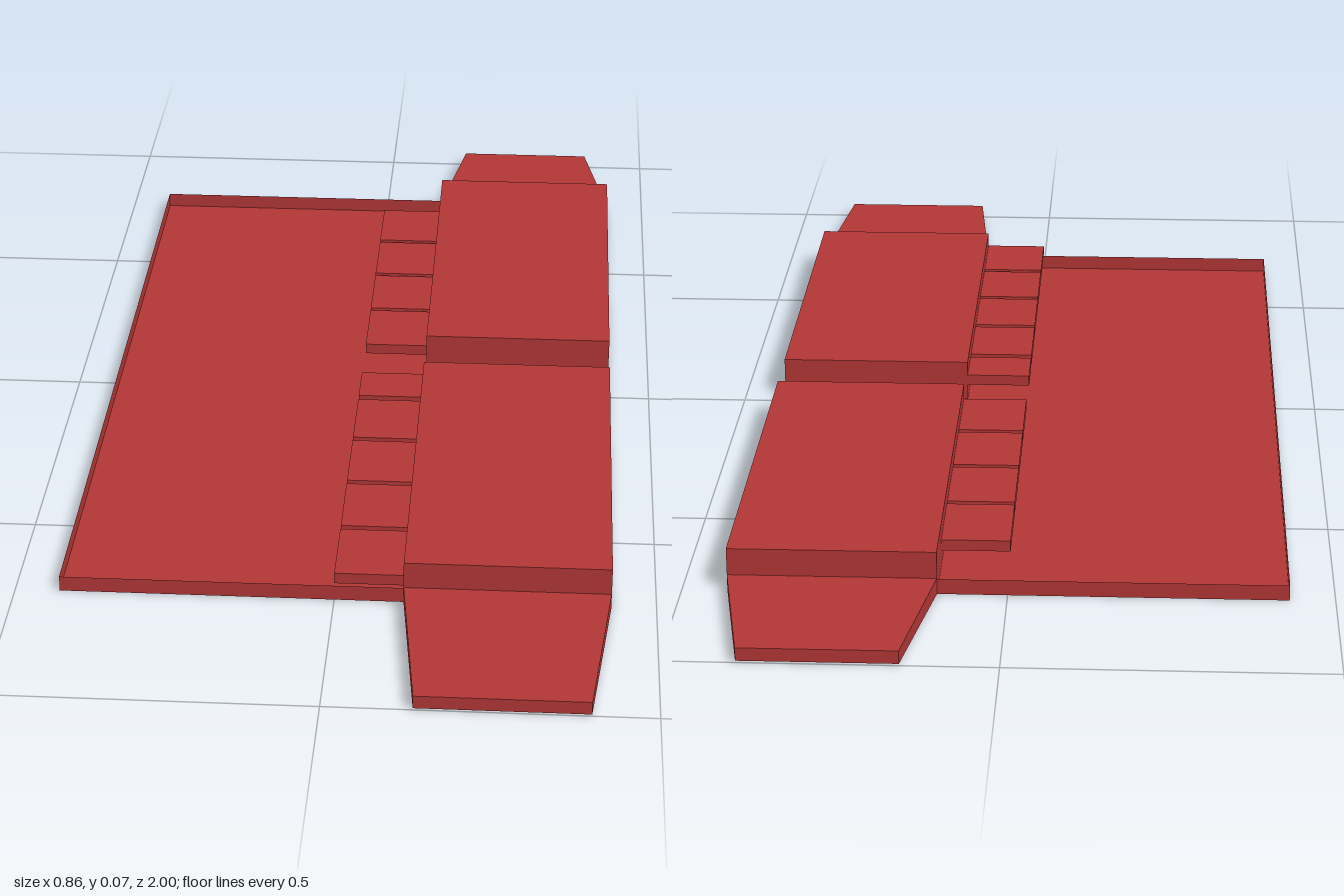
import * as THREE from 'three';

export function createModel() {
  const model = new THREE.Group();
  const red = new THREE.MeshStandardMaterial({ color: 0xb23636, side: THREE.DoubleSide });
  red.name = 'brick red';

  const add = (name, geometry) => {
    const mesh = new THREE.Mesh(geometry, red);
    mesh.name = name;
    model.add(mesh);
    return mesh;
  };
  // Box given by its limits on each axis
  const block = (name, x0, x1, y0, y1, z0, z1) =>
    add(name, new THREE.BoxGeometry(x1 - x0, y1 - y0, z1 - z0))
      .position.set((x0 + x1) / 2, (y0 + y1) / 2, (z0 + z1) / 2);

  const X = 0.43, BACK = -0.76, FRONT = 0.7, RIM = 0.025, INNER = 0.108;
  const length = FRONT - BACK, midZ = (FRONT + BACK) / 2;

  // Shallow open tray: a floor and four thin rim walls
  add('trayFloor', new THREE.PlaneGeometry(2 * X, length).rotateX(-Math.PI / 2)).position.z = midZ;
  for (const s of [-1, 1]) {
    add('sideRim', new THREE.PlaneGeometry(length, RIM).rotateY(s * Math.PI / 2))
      .position.set(s * X, RIM / 2, midZ);
    add('endRim', new THREE.PlaneGeometry(2 * X, RIM).rotateY(s > 0 ? 0 : Math.PI))
      .position.set(0, RIM / 2, s > 0 ? FRONT : BACK);
  }

  // Two raised platforms with a gap between them
  block('frontPlatform', INNER, X, 0.001, 0.07, 0.02, FRONT);
  block('backPlatform', INNER, X, 0.001, 0.07, -0.08, BACK + 0.0);

  // Row of small slabs beside each platform
  const slabs = [0.02, 0.12, 0.267, 0.414, 0.561, -0.663, -0.517, -0.371, -0.225];
  for (const z of slabs) block('slab', 0, INNER, 0.028, 0.046, z, z + (z === 0.02 ? 0.086 : 0.136));

  // Tapered end ramps: a unit box with its corners moved to root and tip
  const ramp = (name, rootZ, tipZ, tipX0, tipX1) => {
    const g = new THREE.BoxGeometry(1, 1, 1);
    const p = g.attributes.position;
    const tipSign = Math.sign(tipZ);
    for (let i = 0; i < p.count; i++) {
      const tip = p.getZ(i) * tipSign > 0, right = p.getX(i) > 0, top = p.getY(i) > 0;
      p.setXYZ(i,
        tip ? (right ? tipX1 : tipX0) : (right ? X : INNER),
        top ? (tip ? 0.024 : 0.026) : (tip ? 0.003 : 0),
        tip ? tipZ : rootZ);
    }
    g.computeVertexNormals();
    add(name, g);
  };
  ramp('frontRamp', FRONT, 1, 0.137, 0.4);
  ramp('backRamp', BACK, -1, 0.147, 0.387);

  return model;
}
